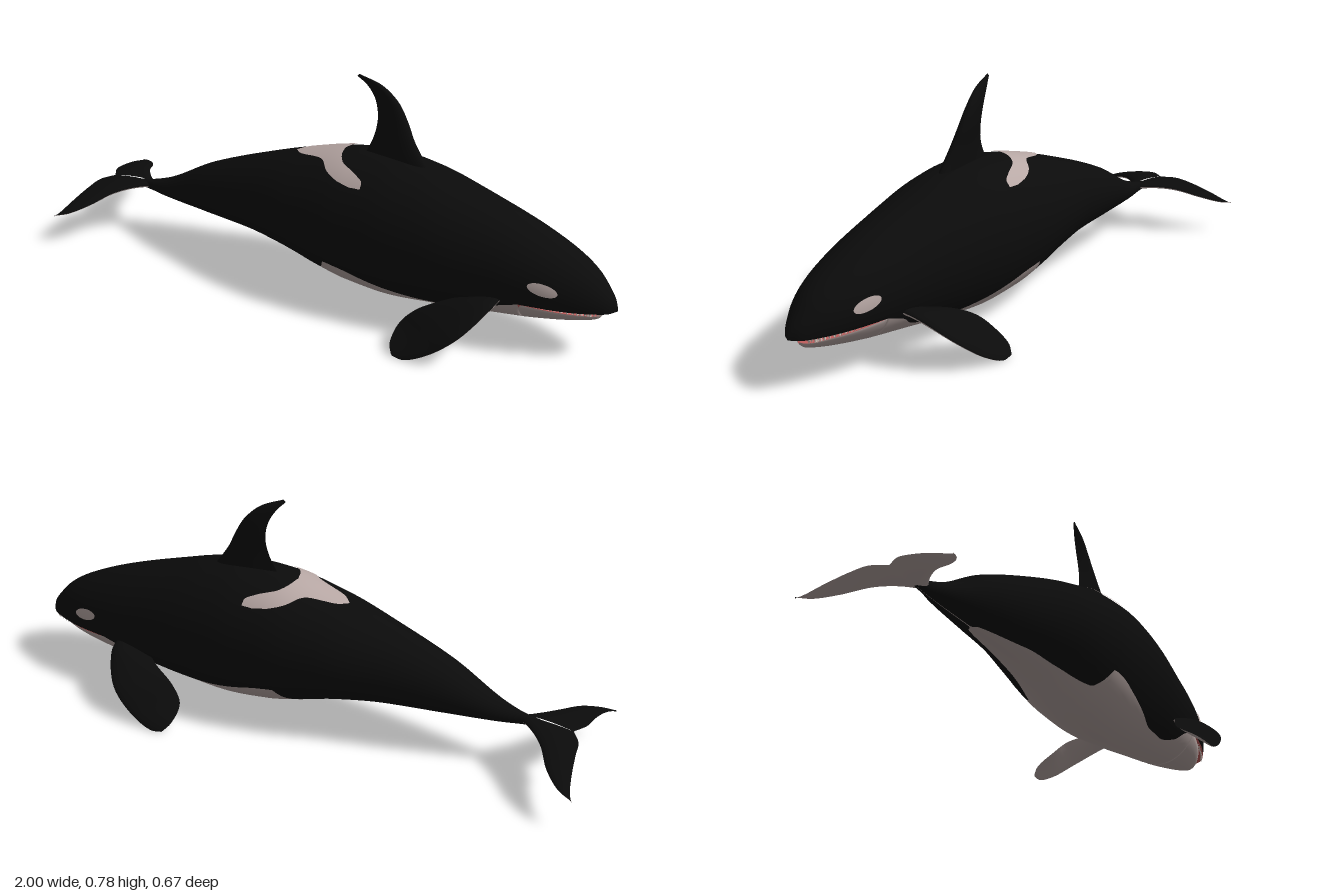
import * as THREE from 'three';
import { mergeGeometries } from 'three/addons/utils/BufferGeometryUtils.js';

const mat = (name, color) => Object.assign(new THREE.MeshStandardMaterial({ color }), { name });

// Monotone cubic through [x, value] pairs
function smooth(pts) {
  const n = pts.length;
  const slope = i => (pts[i + 1][1] - pts[i][1]) / (pts[i + 1][0] - pts[i][0]);
  const tangent = i => {
    if (i === 0) return slope(0);
    if (i === n - 1) return slope(n - 2);
    const a = slope(i - 1), b = slope(i);
    return a * b <= 0 ? 0 : (2 * a * b) / (a + b);
  };
  return x => {
    if (x <= pts[0][0]) return pts[0][1];
    if (x >= pts[n - 1][0]) return pts[n - 1][1];
    let i = 0;
    while (x > pts[i + 1][0]) i++;
    const h = pts[i + 1][0] - pts[i][0], t = (x - pts[i][0]) / h, s = 1 - t;
    return pts[i][1] * (1 + 2 * t) * s * s + pts[i + 1][1] * t * t * (3 - 2 * t)
      + h * t * s * (tangent(i) * s - tangent(i + 1) * t);
  };
}

// Body profiles along x: back line, belly line, half width
const top = smooth([[-.86, .182], [-.8, .19], [-.7, .217], [-.5, .325], [-.3, .405], [-.1, .47], [.1, .515], [.22, .522],
  [.34, .508], [.5, .465], [.7, .4], [.85, .335], [.92, .29], [.97, .235], [.99, .207], [1, .185]]);
const bottom = smooth([[-.86, .178], [-.8, .165], [-.7, .155], [-.5, .145], [-.3, .135], [-.15, .115], [0, .075], [.1, .053],
  [.25, .04], [.4, .052], [.6, .075], [.8, .1], [.95, .125], [.98, .135], [1, .165]]);
const width = smooth([[-.86, 0], [-.8, .014], [-.76, .018], [-.7, .035], [-.5, .09], [-.3, .135], [-.1, .185], [.1, .21],
  [.2, .211], [.4, .195], [.6, .162], [.7, .145], [.8, .122], [.85, .106], [.9, .085], [.95, .056], [.98, .033], [1, 0]]);
// Edge of the white belly, and the two lip lines
const MOUTH = .72;
const bellyEdge = smooth([[-.86, .05], [-.6, .12], [-.5, .147], [-.3, .148], [-.15, .134], [0, .115], [.03, .14], [.05, .174],
  [.1, .168], [.2, .14], [.3, .115], [.4, .098], [.5, .1], [.6, .125], [.65, .16], [.72, .184]]);
const upperLip = x => .184 - (x - MOUTH) * .035;
const lowerLip = x => .184 - (x - MOUTH) * .12;

const mid = x => (top(x) + bottom(x)) / 2;
const half = x => (top(x) - bottom(x)) / 2;
const angleAt = (x, y) => Math.acos(THREE.MathUtils.clamp((mid(x) - y) / half(x), -1, 1));
const sideZ = (x, y) => width(x) * Math.sqrt(Math.max(0, 1 - ((y - mid(x)) / half(x)) ** 2));
const topY = (x, z) => mid(x) + half(x) * Math.sqrt(Math.max(0, 1 - (z / width(x)) ** 2));

function makeGeometry(pos, index) {
  const g = new THREE.BufferGeometry();
  g.setAttribute('position', new THREE.Float32BufferAttribute(pos, 3));
  g.setIndex(index);
  g.computeVertexNormals();
  return g;
}

// Rings split at an edge height; either part can be flattened to a straight chord
function loft(xs, edge, { flatLower, flatUpper, mapX = x => x, slot }) {
  const NL = 24, NU = 48, N = NL + NU, pos = [], lists = [[], [], []];
  xs.forEach((x, i) => {
    const e = Math.max(.02, angleAt(x, edge(x)));
    for (let j = 0; j < N; j++) {
      const lower = j <= NL;
      const f = lower ? j / NL : (j - NL) / NU;
      const t = lower ? -e + 2 * e * f : e + 2 * (Math.PI - e) * f;
      let y = mid(x) - half(x) * Math.cos(t), z = width(x) * Math.sin(t);
      if (lower ? flatLower(x) : flatUpper(x)) {
        y = edge(x);
        z = width(x) * Math.sin(e) * (lower ? 2 * f - 1 : 1 - 2 * f);
      }
      pos.push(mapX(x), y, z);
      if (i < xs.length - 1) {
        const k = (j + 1) % N, a = i * N + j, b = a + N, c = (i + 1) * N + k, d = i * N + k;
        lists[slot(x, j < NL)].push(a, b, c, a, c, d);
      }
    }
  });
  const g = makeGeometry(pos, lists.flat());
  let start = 0;
  lists.forEach((l, m) => { if (l.length) g.addGroup(start, l.length, m); start += l.length; });
  return g;
}

// Surface from fn(u, v), facing along du x dv unless flipped
function grid(fn, nu, nv, flip) {
  const pos = [], index = [];
  for (let i = 0; i <= nu; i++) for (let j = 0; j <= nv; j++) {
    pos.push(...fn(i / nu, j / nv));
    if (i < nu && j < nv) {
      const a = i * (nv + 1) + j, b = a + nv + 1;
      if (flip) index.push(a, b + 1, b, a, a + 1, b + 1);
      else index.push(a, b, b + 1, a, b + 1, a + 1);
    }
  }
  return makeGeometry(pos, index);
}

// Foil-shaped fin from leading and trailing edges; rows are [lead, trail, half thickness]
function fin(name, rows, side, upperMat, lowerMat) {
  const edge = k => new THREE.CatmullRomCurve3(rows.map(r => new THREE.Vector3(r[k][0], r[k][1], r[k][2] * side)));
  const lead = edge(0), trail = edge(1), thick = smooth(rows.map((r, i) => [i / (rows.length - 1), r[2]]));
  const back = trail.getPoint(.5).sub(lead.getPoint(.5));
  const normal = lead.getPoint(1).sub(lead.getPoint(0)).cross(back).normalize().multiplyScalar(-side);
  const face = s => (u, v) => {
    const c = v * v;
    return lead.getPoint(u).lerp(trail.getPoint(u), c)
      .addScaledVector(normal, s * thick(u) * 2.6 * Math.sqrt(c) * (1 - c)).toArray();
  };
  const group = new THREE.Group();
  group.name = name;
  [[1, upperMat, 'UpperFace'], [-1, lowerMat, 'LowerFace']].forEach(([s, m, label]) => {
    const mesh = new THREE.Mesh(grid(face(s), 32, 16, side * s > 0), m);
    mesh.name = name + label;
    group.add(mesh);
  });
  return group;
}

export function createModel() {
  const black = mat('black skin', 0x0b0b0b), white = mat('pale skin', 0xb8a8a5);
  const pink = mat('mouth pink', 0xc4605f), ivory = mat('teeth ivory', 0xcfc4bb);
  const model = new THREE.Group();
  model.name = 'orca';
  const add = (name, geo, m) => {
    const mesh = new THREE.Mesh(geo, m);
    mesh.name = name;
    model.add(mesh);
  };

  // Body with upper head, and the separate lower jaw
  const skins = [black, white, pink];
  const headXs = Array.from({ length: 41 }, (_, i) => MOUTH + (1 - MOUTH) * Math.sin(i / 40 * Math.PI / 2));
  const bodyXs = Array.from({ length: 160 }, (_, i) => -.86 + (MOUTH + .86) * i / 160);
  add('body', loft([...bodyXs, ...headXs], x => x > MOUTH ? upperLip(x) : bellyEdge(x), {
    flatLower: x => x > MOUTH, flatUpper: () => false,
    slot: (x, lower) => !lower ? 0 : x >= MOUTH ? 2 : 1,
  }), skins);
  const jawX = x => MOUTH + (x - MOUTH) * .86;
  add('lowerJaw', loft(headXs, lowerLip, {
    flatLower: () => false, flatUpper: () => true, mapX: jawX, slot: (x, lower) => lower ? 1 : 2,
  }), skins);

  // Teeth along both lips
  const teeth = [];
  for (const side of [1, -1]) for (let i = 0; i < 12; i++) {
    const x = .79 + .17 * Math.sin((i + .5) / 12 * Math.PI / 2);
    teeth.push(new THREE.ConeGeometry(.004, .014, 6).rotateX(Math.PI)
      .translate(x, upperLip(x) - .006, side * sideZ(x, upperLip(x)) * .9));
    teeth.push(new THREE.ConeGeometry(.004, .014, 6)
      .translate(jawX(x), lowerLip(x) + .006, side * sideZ(x, lowerLip(x)) * .9));
  }
  add('teeth', mergeGeometries(teeth), ivory);

  // Saddle patch behind the dorsal fin
  const rear = smooth([[0, -.15], [.03, -.12], [.065, -.02], [.115, .03], [.14, .08], [.15, .13]]);
  const front = smooth([[0, .035], [.04, .045], [.08, .07], [.115, .135], [.135, .168], [.15, .17]]);
  add('saddlePatch', grid((u, v) => {
    const z = (u * 2 - 1) * .15, a = Math.abs(z), x = rear(a) + (front(a) - rear(a)) * v;
    return [x, topY(x, z) + .004, z];
  }, 64, 16), white);

  // Dorsal fin, leaning slightly
  model.add(fin('dorsalFin', [
    [[.37, .46, 0], [.08, .46, 0], .026],
    [[.325, .52, 0], [.115, .52, 0], .024],
    [[.285, .58, -.004], [.14, .58, -.004], .02],
    [[.255, .64, -.012], [.147, .64, -.012], .018],
    [[.22, .7, -.014], [.135, .7, -.014], .014],
    [[.165, .752, -.006], [.11, .745, -.006], .009],
    [[.09, .783, .008], [.082, .775, .008], 0],
  ], 1, black, black));

  for (const side of [1, -1]) {
    const label = side > 0 ? 'left' : 'right';
    // Eye patch
    add(label + 'EyePatch', grid((r, v) => {
      const p = v * Math.PI * 2, dx = .046 * r * Math.cos(p);
      const x = .795 + dx, y = .252 - .2 * dx + .02 * r * Math.sin(p);
      return [x, y, side * (sideZ(x, y) + .004)];
    }, 8, 32, side < 0), white);
    // Flipper
    model.add(fin(label + 'Flipper', [
      [[.665, .19, .12], [.56, .165, .11], .016],
      [[.655, .175, .19], [.49, .155, .175], .016],
      [[.595, .105, .288], [.41, .115, .21], .013],
      [[.51, .04, .325], [.367, .07, .24], .01],
      [[.43, .004, .337], [.367, .03, .305], .005],
      [[.39, .006, .334], [.385, .01, .331], 0],
    ], side, black, white));
    // Tail fluke
    const droop = z => .18 - .07 * (z / .27) ** 2;
    const flukeRows = [[0, -.74, -.925, .014], [.05, -.8, -.955, .012], [.11, -.85, -.963, .01],
      [.19, -.895, -.975, .007], [.245, -.95, -.988, .004], [.268, -1, -1, 0]];
    model.add(fin(label + 'Fluke', flukeRows.map(([z, a, b, t]) =>
      [[a, droop(z), z], [b, droop(z) - .004, z], t]), side, black, white));
  }
  return model;
}
